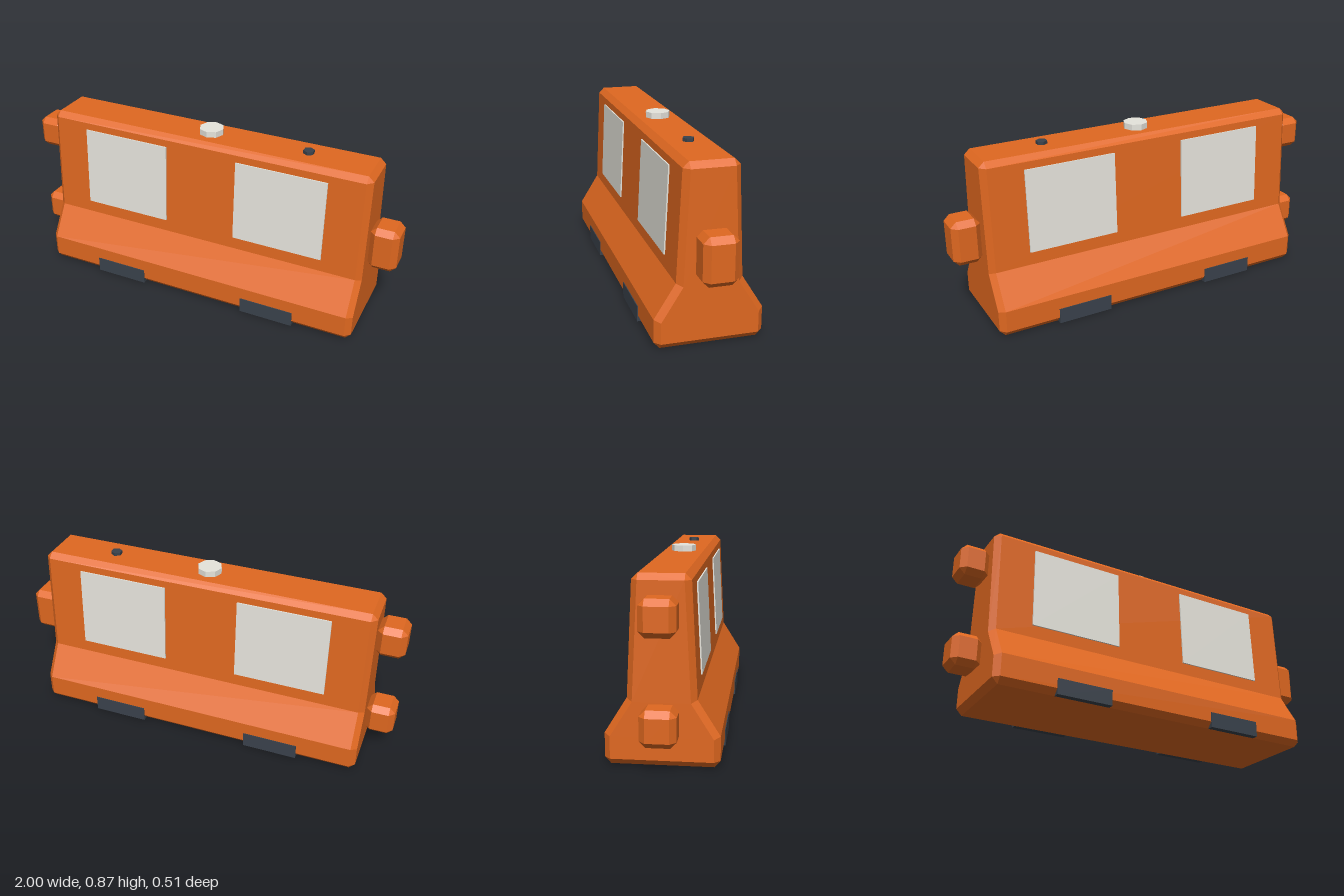
import * as THREE from 'three';
import { ConvexGeometry } from 'three/addons/geometries/ConvexGeometry.js';

const mat = (name, color) => {
  const m = new THREE.MeshStandardMaterial({ color });
  m.name = name;
  return m;
};

// Symmetric barrier body lofted along x, with chamfered ends
function bodyGeometry() {
  // Half profiles as [z, y], bottom to top
  const outer = [[0.226, 0], [0.253, 0.03], [0.253, 0.14], [0.153, 0.3], [0.128, 0.815], [0.1, 0.842]];
  const inner = [[0.226, 0.03], [0.226, 0.03], [0.226, 0.132], [0.127, 0.29], [0.1, 0.815], [0.1, 0.815]];
  const n = outer.length;
  const ring = (half, x) => [
    ...half.map(([z, y]) => [x, y, z]),
    ...half.slice().reverse().map(([z, y]) => [x, y, -z]),
  ];
  const rings = [ring(inner, -0.86), ring(outer, -0.832), ring(outer, 0.832), ring(inner, 0.86)];
  const pos = [];
  const quad = (a, b, c, d) => pos.push(...a, ...b, ...c, ...a, ...c, ...d);
  for (let r = 0; r < 3; r++) {
    for (let i = 0; i < 2 * n; i++) {
      const j = (i + 1) % (2 * n);
      quad(rings[r][i], rings[r + 1][i], rings[r + 1][j], rings[r][j]);
    }
  }
  // End faces as strips between mirrored points
  for (let i = 1; i < n - 2; i++) {
    const k = 2 * n - 1 - i;
    const [a, b] = [rings[0], rings[3]];
    quad(a[k], a[i], a[i + 1], a[k - 1]);
    quad(b[i], b[k], b[k - 1], b[i + 1]);
  }
  const g = new THREE.BufferGeometry();
  g.setAttribute('position', new THREE.Float32BufferAttribute(pos, 3));
  g.computeVertexNormals();
  return g;
}

// Box with every edge and corner cut by c
function chamferBox(w, h, d, c) {
  const pts = [];
  for (const x of [-1, 1]) for (const y of [-1, 1]) for (const z of [-1, 1]) {
    for (let k = 0; k < 3; k++) {
      pts.push(new THREE.Vector3(
        x * (w / 2 - (k === 0 ? 0 : c)),
        y * (h / 2 - (k === 1 ? 0 : c)),
        z * (d / 2 - (k === 2 ? 0 : c))));
    }
  }
  return new ConvexGeometry(pts);
}

export function createModel() {
  const model = new THREE.Group();
  model.name = 'roadBarrier';
  const orange = mat('orange plastic', 0xe06820);
  const pale = mat('pale grey', 0xe6e4dc);
  const dark = mat('dark slate', 0x3a424c);
  orange.flatShading = pale.flatShading = dark.flatShading = true;

  const add = (name, geometry, material, x = 0, y = 0, z = 0) => {
    const mesh = new THREE.Mesh(geometry, material);
    mesh.name = name;
    mesh.position.set(x, y, z);
    model.add(mesh);
    return mesh;
  };

  add('body', bodyGeometry(), orange);

  // Interlocking lugs: one on the left end, two on the right end
  add('leftLug', chamferBox(0.142, 0.225, 0.16, 0.028), orange, 0.929, 0.442, 0);
  for (const y of [0.209, 0.676]) {
    add('rightLug', chamferBox(0.142, 0.163, 0.16, 0.028), orange, -0.929, y, 0);
  }

  // Reflector panels and base pads on both faces
  const tilt = Math.atan2(0.025, 0.515);
  const panel = new THREE.BoxGeometry(0.466, 0.415, 0.0096);
  const pad = new THREE.BoxGeometry(0.28, 0.078, 0.032);
  for (const side of [-1, 1]) for (const end of [-1, 1]) {
    const p = add('reflectorPanel', panel, pale, end * 0.422, 0.572, side * 0.1418);
    p.rotation.x = -side * tilt;
    add('basePad', pad, dark, end * 0.42, 0.039, side * 0.241);
  }

  // Filler cap and small plug on top
  add('fillerCap', new THREE.CylinderGeometry(0.062, 0.062, 0.034, 8), pale, 0, 0.855, 0);
  add('plug', new THREE.CylinderGeometry(0.028, 0.028, 0.02, 6), dark, 0.51, 0.848, 0);

  return model;
}
